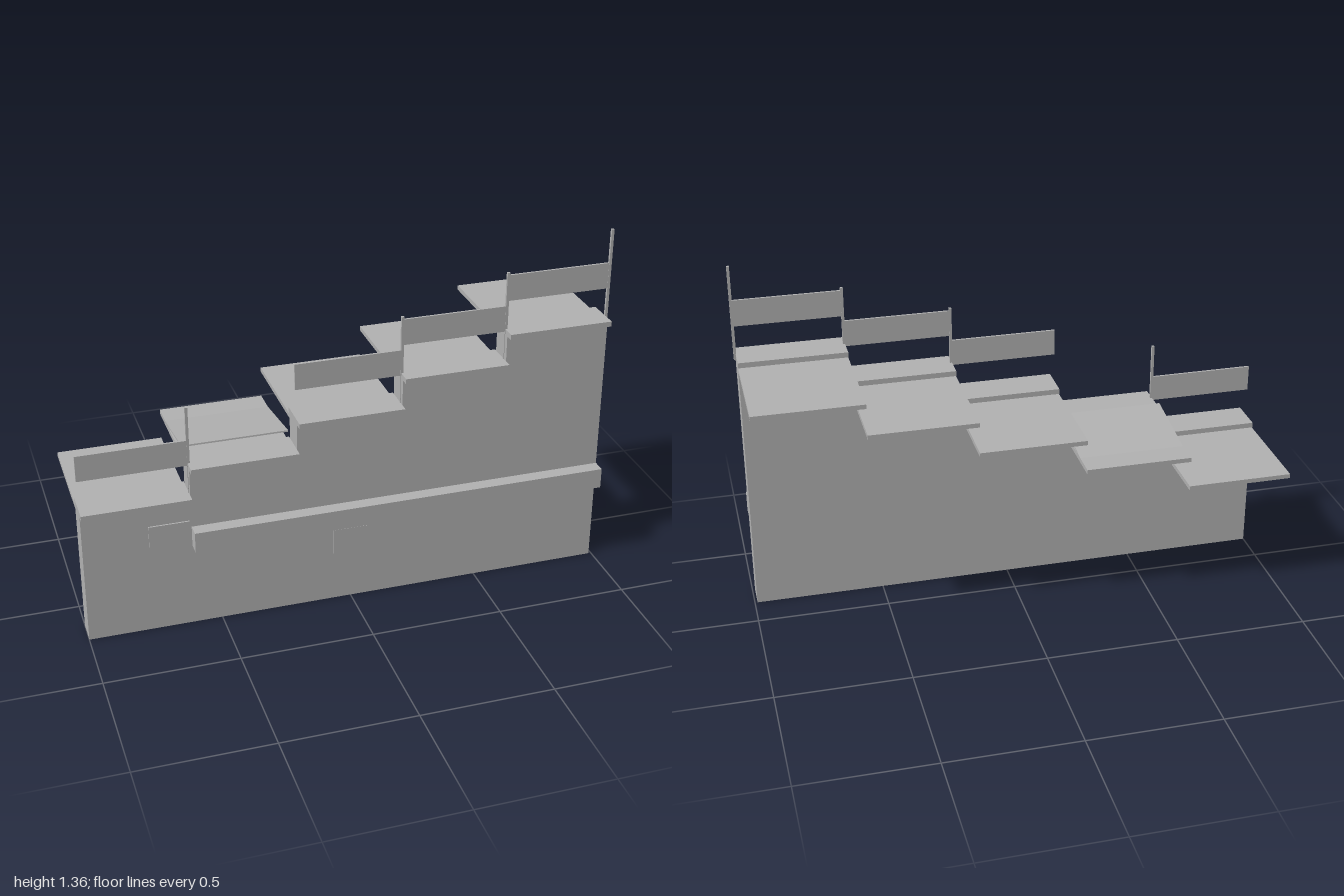
import * as THREE from 'three';

export function createModel() {
  const model = new THREE.Group();
  model.name = 'steppedWall';
  const grey = new THREE.MeshStandardMaterial({ color: 0xb2b2b2 });
  grey.name = 'grey';

  // Box given by its limits on each axis
  const box = (name, x0, x1, y0, y1, z0, z1, parent = model) => {
    const mesh = new THREE.Mesh(new THREE.BoxGeometry(x1 - x0, y1 - y0, z1 - z0), grey);
    mesh.position.set((x0 + x1) / 2, (y0 + y1) / 2, (z0 + z1) / 2);
    mesh.name = name;
    parent.add(mesh);
    return mesh;
  };

  const width = 0.398, rise = 0.12;
  for (let i = 0; i < 5; i++) {
    const bay = new THREE.Group();
    bay.name = 'bay' + (i + 1);
    model.add(bay);
    const x0 = -1 + i * width, x1 = x0 + width;
    const top = 0.54 + i * rise;

    // Wall section with its coping and rear platform
    box('wall', x0, x1, 0, top - 0.02, 0.129, 0.225, bay);
    box('coping', x0, x1, top - 0.02, top, 0.118, 0.258, bay);
    box('platform', x0, x1, top - 0.04, top - 0.023, -0.275, 0.129, bay);

    // Front ledge runs along all but the lowest section
    if (i > 0) box('ledge', x0, x1, 0.33, 0.41, 0.225, 0.277, bay);

    if (i === 1) {
      // Loose panel, raised at its front edge
      const panel = box('raisedPanel', x0, x1, 0.644, 0.65, -0.2, 0.108, bay);
      panel.position.y = 0.654;
      panel.rotation.x = -0.15;
    } else {
      // Guard board and end post
      box('guardBoard', x0, x1, top + 0.11, top + 0.21, 0.196, 0.204, bay);
      box('post', x1 - 0.002, x1 + 0.008, top - 0.02, top + 0.34, 0.195, 0.205, bay);
    }
  }

  // Thin plates on the wall front
  box('upperPlate', -0.76, -0.61, 0.34, 0.437, 0.225, 0.231);
  box('lowerPlate', -0.07, 0.07, 0.2, 0.3, 0.225, 0.231);
  return model;
}
